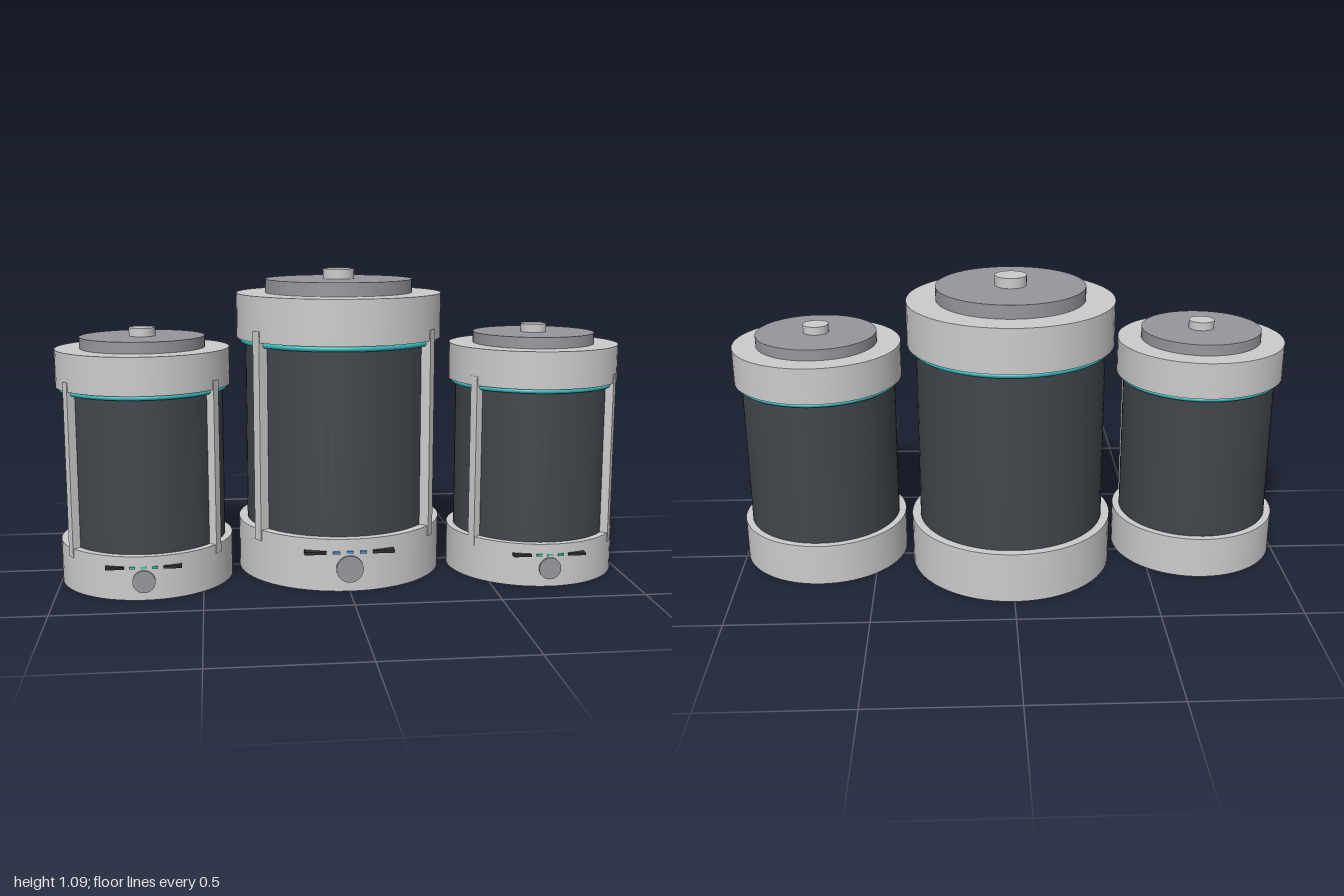
import * as THREE from 'three';

const mat = (color) => new THREE.MeshStandardMaterial({ color });
const grey = mat(0xcccccc);
const lidGrey = mat(0x96969c);
const dark = mat(0x41464c);
const black = mat(0x2c2e33);
const teal = mat(0x35b8bd);
const blue = mat(0x4a90d9);
const green = mat(0x3cc8a8);

function add(group, name, geometry, material, x = 0, y = 0, z = 0) {
  const mesh = new THREE.Mesh(geometry, material);
  mesh.name = name;
  mesh.position.set(x, y, z);
  group.add(mesh);
  return mesh;
}

// Upright cylinder between two heights
function drum(group, name, radius, y0, y1, material) {
  return add(group, name, new THREE.CylinderGeometry(radius, radius, y1 - y0, 64), material, 0, (y0 + y1) / 2, 0);
}

function createCanister(name, lightMaterial) {
  const g = new THREE.Group();
  g.name = name;

  // Stacked body
  drum(g, 'base', 0.368, 0, 0.185, grey);
  drum(g, 'body', 0.337, 0.185, 0.845, dark);
  drum(g, 'collar', 0.368, 0.845, 1.003, grey);
  drum(g, 'lid', 0.264, 1.003, 1.051, lidGrey);
  drum(g, 'lidKnob', 0.056, 1.051, 1.087, grey);

  // Glowing ring under the collar
  const ring = add(g, 'ring', new THREE.TorusGeometry(0.346, 0.01, 12, 64), teal, 0, 0.835, 0);
  ring.rotation.x = Math.PI / 2;

  for (const side of [-1, 1]) {
    // Upright rails, turned to face outwards
    const angle = side * THREE.MathUtils.degToRad(56);
    const rail = add(g, side > 0 ? 'leftRail' : 'rightRail', new THREE.BoxGeometry(0.036, 0.738, 0.036), grey,
      Math.sin(angle) * 0.353, 0.515, Math.cos(angle) * 0.353);
    rail.rotation.y = angle;

    // Slots beside the lights
    add(g, side > 0 ? 'leftSlot' : 'rightSlot', new THREE.BoxGeometry(0.075, 0.01, 0.036), black, side * 0.118, 0.138, 0.353);
  }

  // Row of indicator lights
  for (const i of [-1, 0, 1]) {
    add(g, 'indicatorLight', new THREE.BoxGeometry(0.024, 0.009, 0.02), lightMaterial, i * 0.046, 0.138, 0.362);
  }

  // Control dial
  const dial = add(g, 'dial', new THREE.CylinderGeometry(0.047, 0.047, 0.03, 32), lidGrey, 0, 0.08, 0.361);
  dial.rotation.x = Math.PI / 2;
  return g;
}

export function createModel() {
  const model = new THREE.Group();
  model.name = 'canisterSet';

  const centre = createCanister('centreCanister', blue);
  centre.position.z = -0.0125;
  model.add(centre);

  // Smaller canisters on both sides, set forward
  for (const side of [-1, 1]) {
    const canister = createCanister(side > 0 ? 'leftCanister' : 'rightCanister', green);
    canister.scale.setScalar(0.82);
    canister.position.set(side * 0.698, 0, 0.075);
    model.add(canister);
  }
  return model;
}
